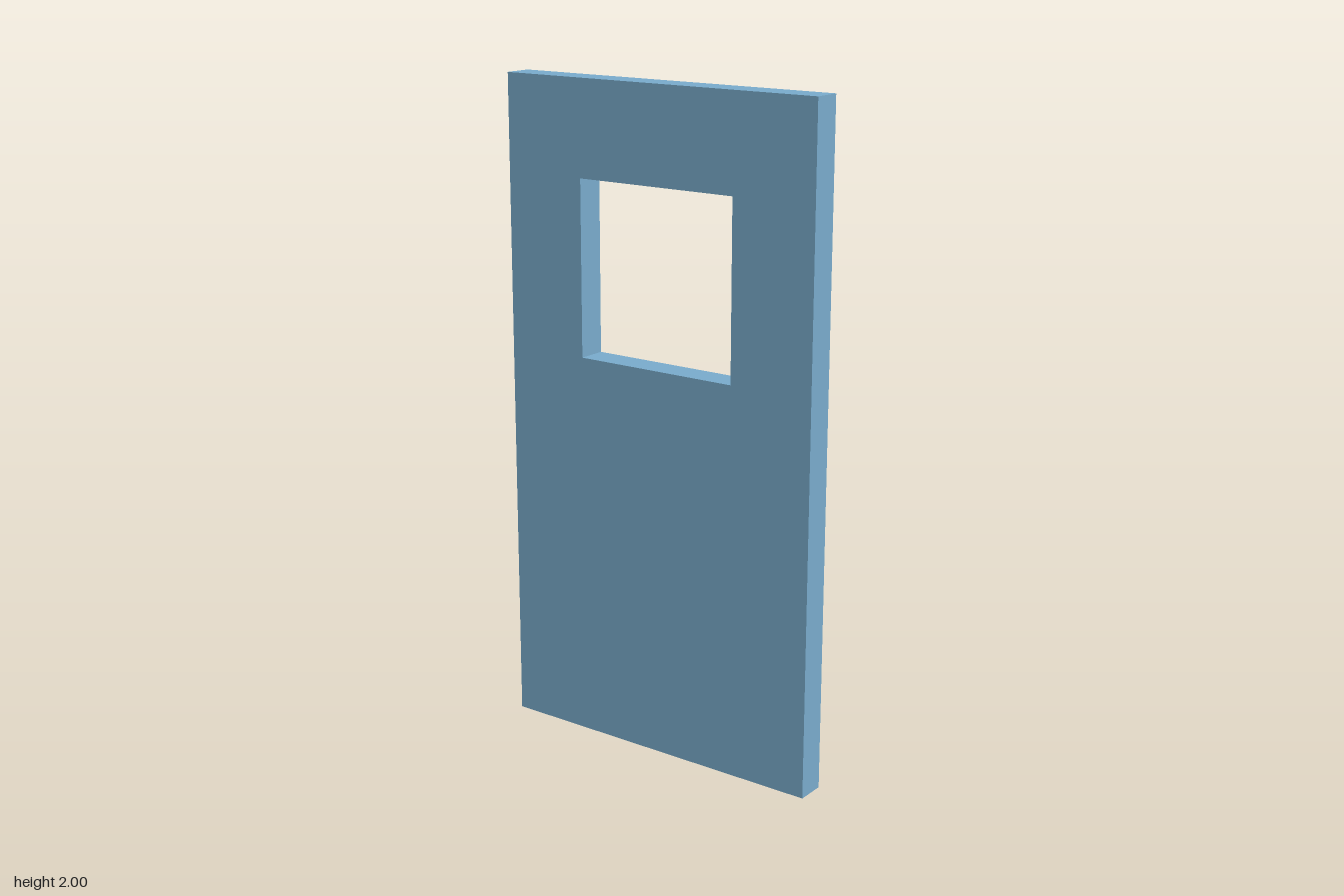
import * as THREE from 'three';

const HEIGHT = 2, WIDTH = 1.058, THICKNESS = 0.088;
const WINDOW = { width: 0.528, bottom: 1.187, top: 1.715 };

// Traces an upright rectangle centred on x = 0
function rectangle(path, width, bottom, top) {
  const h = width / 2;
  path.moveTo(-h, bottom);
  path.lineTo(h, bottom);
  path.lineTo(h, top);
  path.lineTo(-h, top);
  path.closePath();
  return path;
}

export function createModel() {
  const model = new THREE.Group();
  model.name = 'door';

  // Door slab with a square window opening
  const outline = rectangle(new THREE.Shape(), WIDTH, 0, HEIGHT);
  outline.holes.push(rectangle(new THREE.Path(), WINDOW.width, WINDOW.bottom, WINDOW.top));
  const geometry = new THREE.ExtrudeGeometry(outline, { depth: THICKNESS, bevelEnabled: false });
  geometry.translate(0, 0, -THICKNESS / 2);
  geometry.rotateY(Math.PI / 2); // broad faces look along x

  const panel = new THREE.Mesh(geometry, new THREE.MeshStandardMaterial({ color: 0x78aaca }));
  panel.name = 'doorPanel';
  model.add(panel);
  return model;
}
